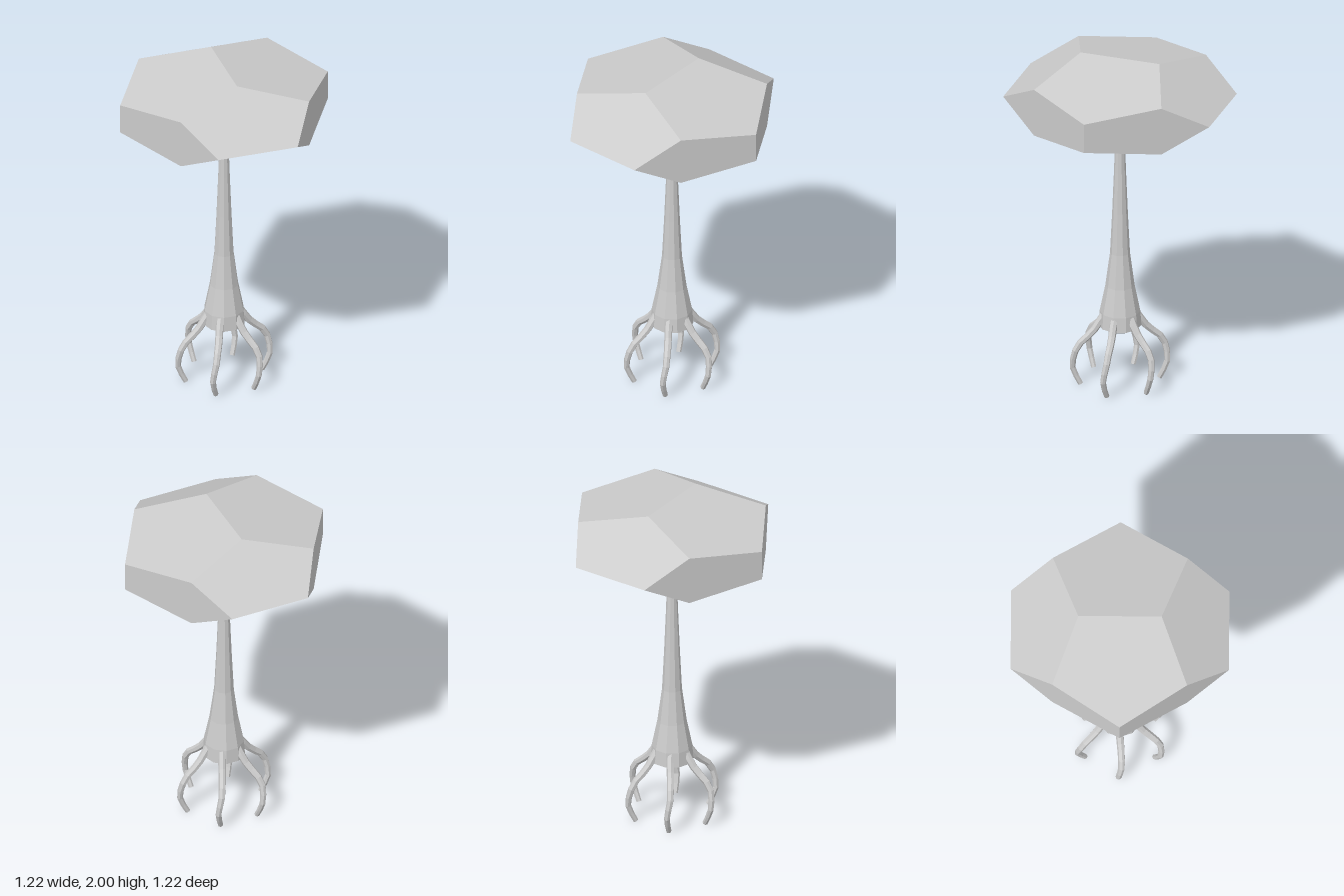
import * as THREE from 'three';

const material = new THREE.MeshStandardMaterial({ color: 0xcccccc, flatShading: true });

function part(name, geometry) {
  const mesh = new THREE.Mesh(geometry, material);
  mesh.name = name;
  return mesh;
}

// Root path in its own plane: x runs outward from the trunk, z is a slight sideways wobble
const rootPath = new THREE.CatmullRomCurve3([
  [0.085, 0.43, 0], [0.125, 0.37, 0], [0.165, 0.315, -0.006], [0.22, 0.275, -0.01],
  [0.26, 0.21, -0.01], [0.272, 0.125, 0.006], [0.255, 0.07, 0.006], [0.225, 0.008, 0],
].map((p) => new THREE.Vector3(...p)), false, 'catmullrom', 0.3);

function createRoot() {
  const root = new THREE.Group();
  const steps = 9, sides = 7;
  const radiusAt = (t) => 0.024 - 0.009 * t;

  // Tube thinned toward the tip
  const tube = new THREE.TubeGeometry(rootPath, steps, 1, sides);
  const pos = tube.attributes.position;
  const v = new THREE.Vector3();
  for (let i = 0; i < pos.count; i++) {
    const t = Math.floor(i / (sides + 1)) / steps;
    const centre = rootPath.getPointAt(t);
    v.fromBufferAttribute(pos, i).sub(centre).multiplyScalar(radiusAt(t)).add(centre);
    pos.setXYZ(i, v.x, v.y, v.z);
  }
  root.add(part('rootLimb', tube));

  // Flat tip
  const tip = part('rootTip', new THREE.CircleGeometry(radiusAt(1), sides));
  const end = rootPath.getPointAt(1);
  tip.position.copy(end);
  tip.lookAt(end.clone().add(rootPath.getTangentAt(1)));
  root.add(tip);
  return root;
}

export function createModel() {
  const model = new THREE.Group();
  model.name = 'tree';

  // Crown: a flattened dodecahedron
  const crown = part('crown', new THREE.DodecahedronGeometry(0.655).rotateY(Math.PI / 2).scale(1, 0.374, 1));
  crown.position.y = 1.771;
  model.add(crown);

  // Ten-sided trunk flaring to a shallow rounded base
  const profile = [
    [0, 0.315], [0.065, 0.324], [0.12, 0.353], [0.114, 0.44], [0.082, 0.6],
    [0.056, 0.8], [0.044, 1.05], [0.034, 1.3], [0.025, 1.56],
  ].map((p) => new THREE.Vector2(...p));
  model.add(part('trunk', new THREE.LatheGeometry(profile, 10, Math.PI / 2)));

  // Six arching roots
  const roots = new THREE.Group();
  roots.name = 'roots';
  for (let i = 0; i < 6; i++) {
    const root = createRoot();
    root.name = `root${i + 1}`;
    root.rotation.y = (i * Math.PI) / 3;
    roots.add(root);
  }
  model.add(roots);
  return model;
}
